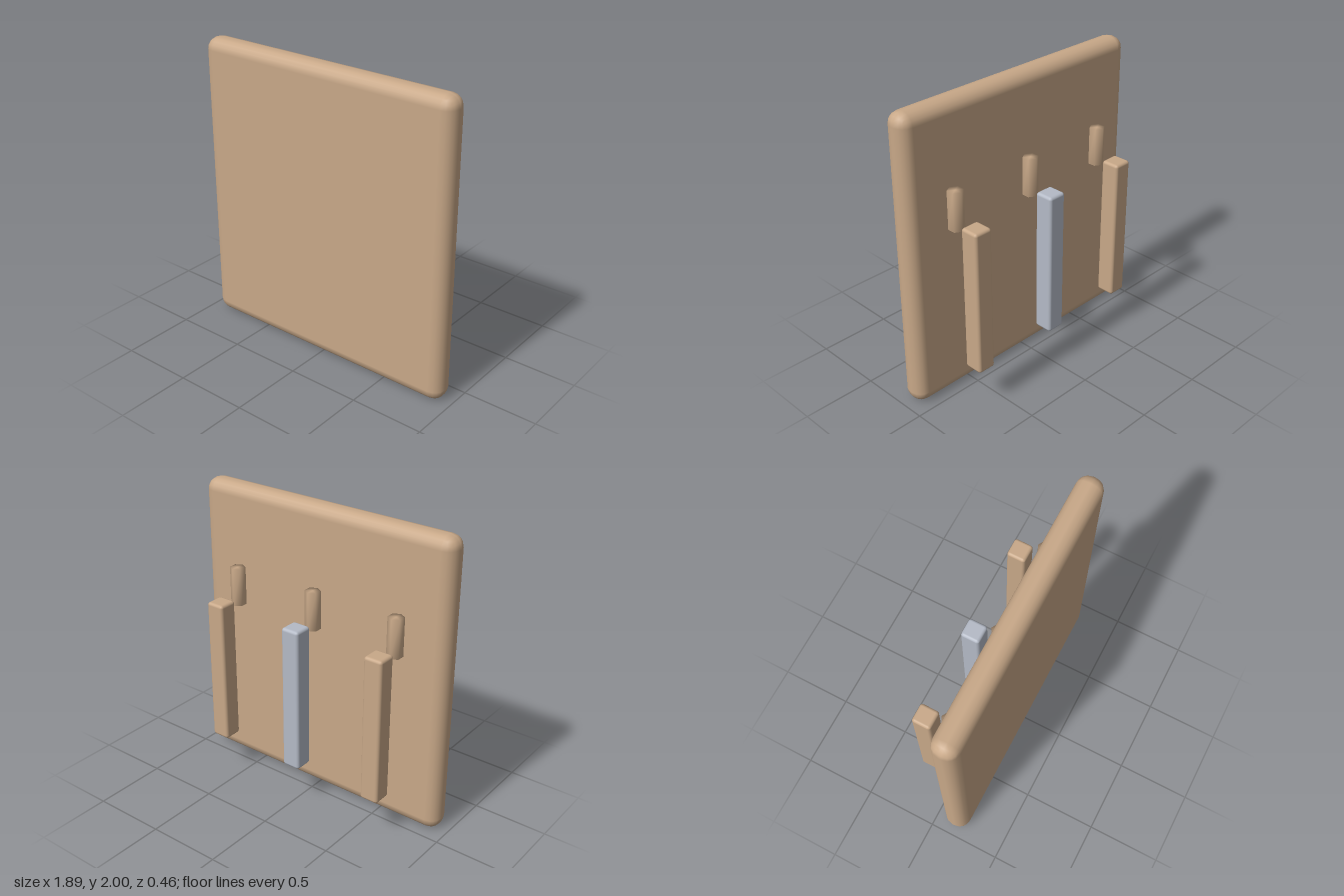
import * as THREE from 'three';
import { RoundedBoxGeometry } from 'three/addons/geometries/RoundedBoxGeometry.js';
import { mergeVertices } from 'three/addons/utils/BufferGeometryUtils.js';

export function createModel() {
  const model = new THREE.Group();
  const wood = new THREE.MeshStandardMaterial({ color: 0xc8a888 });
  const metal = new THREE.MeshStandardMaterial({ color: 0xb4bac6 });

  const add = (name, geometry, material, x, y, z) => {
    const mesh = new THREE.Mesh(geometry, material);
    mesh.name = name;
    mesh.position.set(x, y, z);
    model.add(mesh);
  };

  // Upright board with rounded edges
  add('board', new RoundedBoxGeometry(1.89, 2, 0.175, 2, 0.08), wood, 0, 1, 0.144);

  // Six-sided peg, welded so the shading rolls softly over the ends
  let pegGeometry = new THREE.CylinderGeometry(0.052, 0.052, 0.26, 6);
  pegGeometry.deleteAttribute('normal');
  pegGeometry.deleteAttribute('uv');
  pegGeometry = mergeVertices(pegGeometry);
  pegGeometry.computeVertexNormals();

  const barGeometry = new RoundedBoxGeometry(0.13, 1, 0.13, 2, 0.02);

  // Three pegs on the back, each with a bar hanging behind it
  [['right', -0.623, wood], ['middle', 0, metal], ['left', 0.623, wood]].forEach(([side, x, material]) => {
    add(`${side}Peg`, pegGeometry, wood, x, 1.335, 0.006);
    add(`${side}Bar`, barGeometry, material, x, 0.78, -0.167);
  });

  return model;
}
